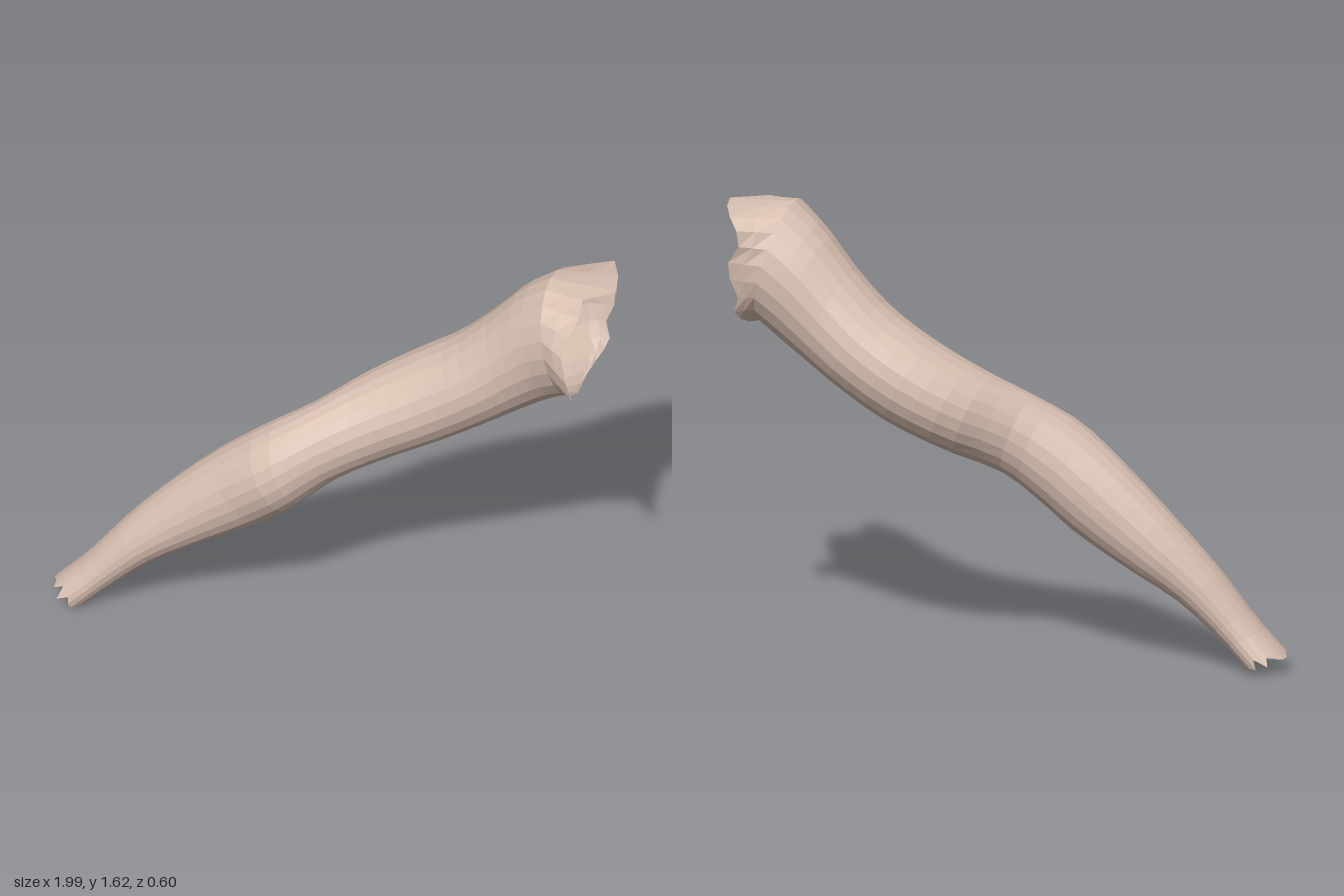
import * as THREE from 'three';

const SIDES = 22, RINGS = 30;
const V = (x, y, z) => new THREE.Vector3(x, y, z);

// Cross-sections from wrist to shoulder:
// upper edge x, y; lower edge x, y; front z; back z
const SECTIONS = [
  [-0.99, 0.06, -0.86, 0.00, 0.31, 0.10],
  [-0.88, 0.18, -0.75, 0.11, 0.29, 0.10],
  [-0.75, 0.35, -0.60, 0.24, 0.28, 0.07],
  [-0.60, 0.52, -0.43, 0.34, 0.27, 0.03],
  [-0.42, 0.70, -0.22, 0.47, 0.27, 0.00],
  [-0.24, 0.85, -0.11, 0.56, 0.28, -0.02],
  [-0.08, 0.95, 0.02, 0.67, 0.22, -0.06],
  [0.08, 1.05, 0.20, 0.76, 0.16, -0.18],
  [0.24, 1.15, 0.40, 0.86, 0.12, -0.24],
  [0.40, 1.26, 0.57, 0.97, 0.105, -0.26],
  [0.53, 1.39, 0.70, 1.06, 0.10, -0.26],
  [0.65, 1.53, 0.80, 1.13, 0.12, -0.27],
  [0.76, 1.62, 0.87, 1.18, 0.16, -0.28],
];

// Flared shoulder rim, going round from the top towards the front
const RIM = new THREE.CatmullRomCurve3([
  V(1.0, 1.61, -0.07), V(0.91, 1.56, 0.15), V(0.95, 1.40, 0.29), V(0.92, 1.27, 0.13),
  V(0.88, 1.19, -0.14), V(0.91, 1.24, -0.25), V(0.93, 1.41, -0.29), V(0.91, 1.57, -0.30),
], true);

// Smooth curves through matching points of all sections
const curveOf = (f) => new THREE.CatmullRomCurve3(SECTIONS.map(f));
const upper = curveOf((s) => V(s[0], s[1], 0));
const lower = curveOf((s) => V(s[2], s[3], 0));
const depth = curveOf((s, i) => V(s[4], s[5], i));

function ring(t) {
  const a = upper.getPoint(t), b = lower.getPoint(t), d = depth.getPoint(t);
  const mid = a.clone().add(b).multiplyScalar(0.5);
  const half = a.clone().sub(b).multiplyScalar(0.5);
  const points = [];
  for (let j = 0; j < SIDES; j++) {
    const ang = (j / SIDES) * Math.PI * 2;
    const p = mid.clone().addScaledVector(half, Math.cos(ang));
    p.z = (d.x + d.y) / 2 + ((d.x - d.y) / 2) * Math.sin(ang);
    points.push(p);
  }
  return points;
}

// Skin strip between successive rings
function loft(rings) {
  const index = [];
  for (let r = 0; r < rings.length - 1; r++) {
    for (let j = 0; j < SIDES; j++) {
      const k = (j + 1) % SIDES;
      const a = r * SIDES + j, b = r * SIDES + k;
      index.push(a, b, a + SIDES, b, b + SIDES, a + SIDES);
    }
  }
  const geometry = new THREE.BufferGeometry().setFromPoints(rings.flat());
  geometry.setIndex(index);
  geometry.computeVertexNormals();
  return geometry;
}

export function createModel() {
  const skin = new THREE.MeshStandardMaterial({ color: 0xd8bfb1, side: THREE.DoubleSide, flatShading: true });
  const group = new THREE.Group();
  group.name = 'arm';
  const add = (name, rings) => {
    const mesh = new THREE.Mesh(loft(rings), skin);
    mesh.name = name;
    group.add(mesh);
  };

  const rings = [];
  for (let i = 0; i <= RINGS; i++) rings.push(ring(i / RINGS));

  // Ragged wrist opening: pull some end points back up the arm
  const notch = [0, 0.3, 0.1, 0.75, 0, 0.6, 0.2];
  rings[0].forEach((p, j) => p.lerp(rings[1][j], notch[j % 7]));

  // Ragged shoulder opening
  const cuff = rings[RINGS];
  const rim = cuff.map((p, j) => RIM.getPoint(j / SIDES).lerp(p, notch[(j * 3) % 7] * 0.45));
  const between = cuff.map((p, j) => p.clone().lerp(rim[j], 0.5));

  const elbow = 13;
  add('forearm', rings.slice(0, elbow + 1));
  add('upperArm', rings.slice(elbow));
  add('shoulder', [cuff, between, rim]);
  return group;
}
